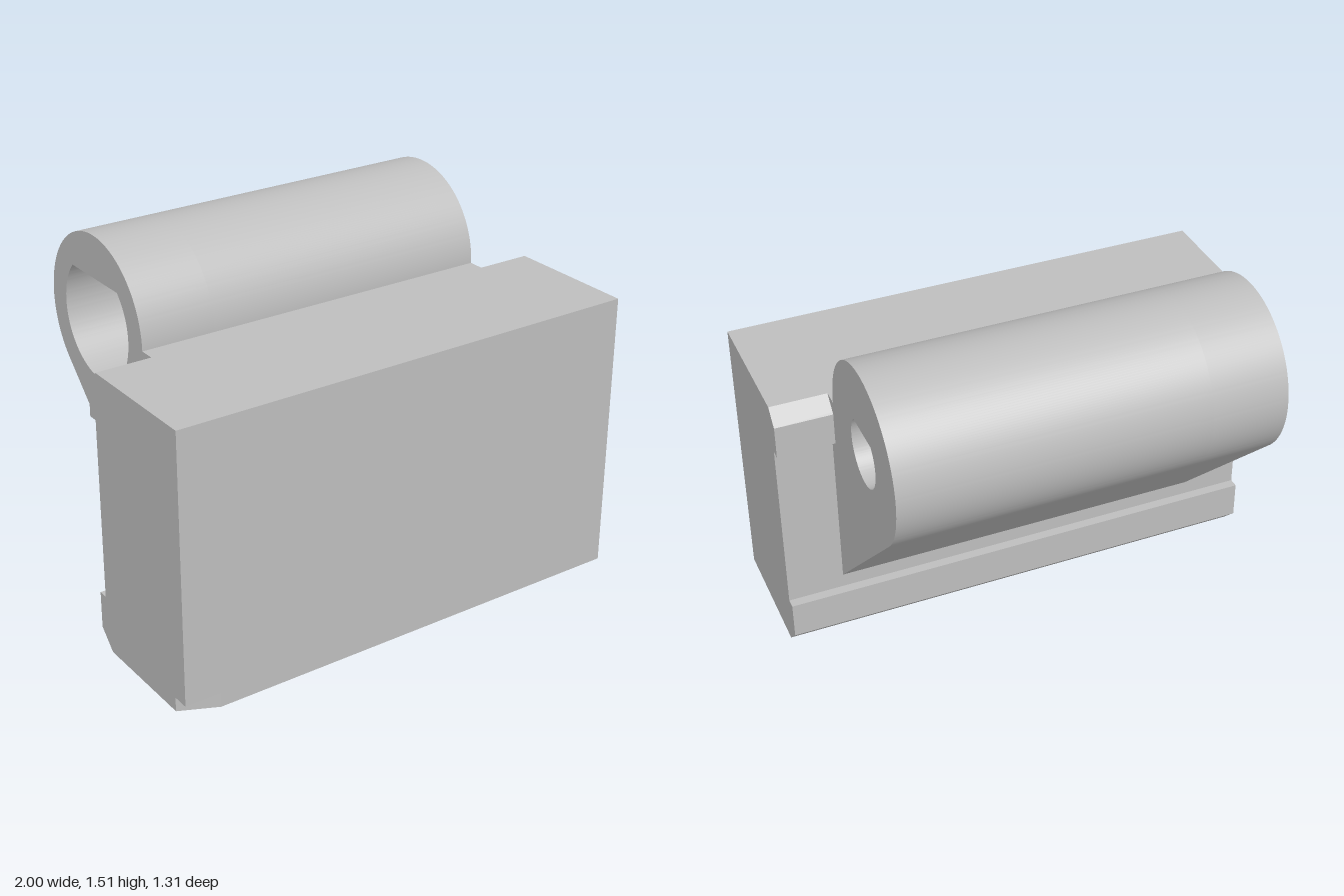
import * as THREE from 'three';
import { toCreasedNormals } from 'three/addons/utils/BufferGeometryUtils.js';

const PIN_A = 0.31, PIN_Y = 1.17, R = 0.345; // knuckle axis (a = -z) and radius

export function createModel() {
  const group = new THREE.Group();
  group.name = 'hingeBlock';
  const grey = new THREE.MeshStandardMaterial({ color: 0xbebebe });
  grey.name = 'plain grey';

  const add = (name, geo) => {
    const mesh = new THREE.Mesh(geo, grey);
    mesh.name = name;
    group.add(mesh);
    return mesh;
  };

  // Extrude a side profile, drawn as (-z, y), from x0 to x1
  const sideExtrude = (shape, x0, x1) => {
    const geo = new THREE.ExtrudeGeometry(shape, { depth: x1 - x0, bevelEnabled: false, curveSegments: 72 });
    geo.rotateY(Math.PI / 2).translate(x0, 0, 0);
    return toCreasedNormals(geo, 0.4);
  };
  const polygon = (pts) => new THREE.Shape(pts.map(([x, y]) => new THREE.Vector2(x, y)));

  // Block with chamfered back lips and a shallow recess between them
  const front = 0.585;
  add('block', sideExtrude(polygon([
    [-front, 0], [-0.118, 0], [-0.043, 0.075], [-0.043, 0.23], [-0.083, 0.23],
    [-0.083, 0.975], [-0.043, 0.975], [-0.043, 1.11], [-0.10, 1.17], [-front, 1.17],
  ]), -1, 1));

  // Front layer, with a slanted grip notch in its lower right corner
  const notchY = 0.06;
  const panel = new THREE.BoxGeometry(2, 1.17 - notchY, 0.07);
  panel.translate(0, (1.17 + notchY) / 2, front + 0.035);
  add('frontPanel', panel);
  const strip = new THREE.ExtrudeGeometry(
    polygon([[-1, -front], [-0.85, -0.655], [1, -0.655], [1, -front]]),
    { depth: notchY, bevelEnabled: false });
  strip.rotateX(-Math.PI / 2);
  add('notchedFrontStrip', strip);

  // Knuckle: round barrel running down a 45 degree gusset into the block
  const knuckle = (holeR) => {
    const k = R * Math.SQRT1_2;
    const s = new THREE.Shape();
    s.moveTo(-0.10, PIN_Y);
    s.lineTo(-0.10, 0.272);
    s.lineTo(PIN_A + k, PIN_Y - k);
    s.absarc(PIN_A, PIN_Y, R, -Math.PI / 4, Math.PI, false);
    s.closePath();
    // Teardrop pin hole
    const hole = new THREE.Path();
    hole.moveTo(PIN_A, PIN_Y + holeR * Math.SQRT2);
    hole.absarc(PIN_A, PIN_Y, holeR, Math.PI * 0.75, Math.PI * 2.25, false);
    hole.closePath();
    s.holes.push(hole);
    return s;
  };
  add('knuckle', sideExtrude(knuckle(0.132), -0.46, 0.77));
  add('knuckleCounterbore', sideExtrude(knuckle(0.242), -0.77, -0.46));

  return group;
}
